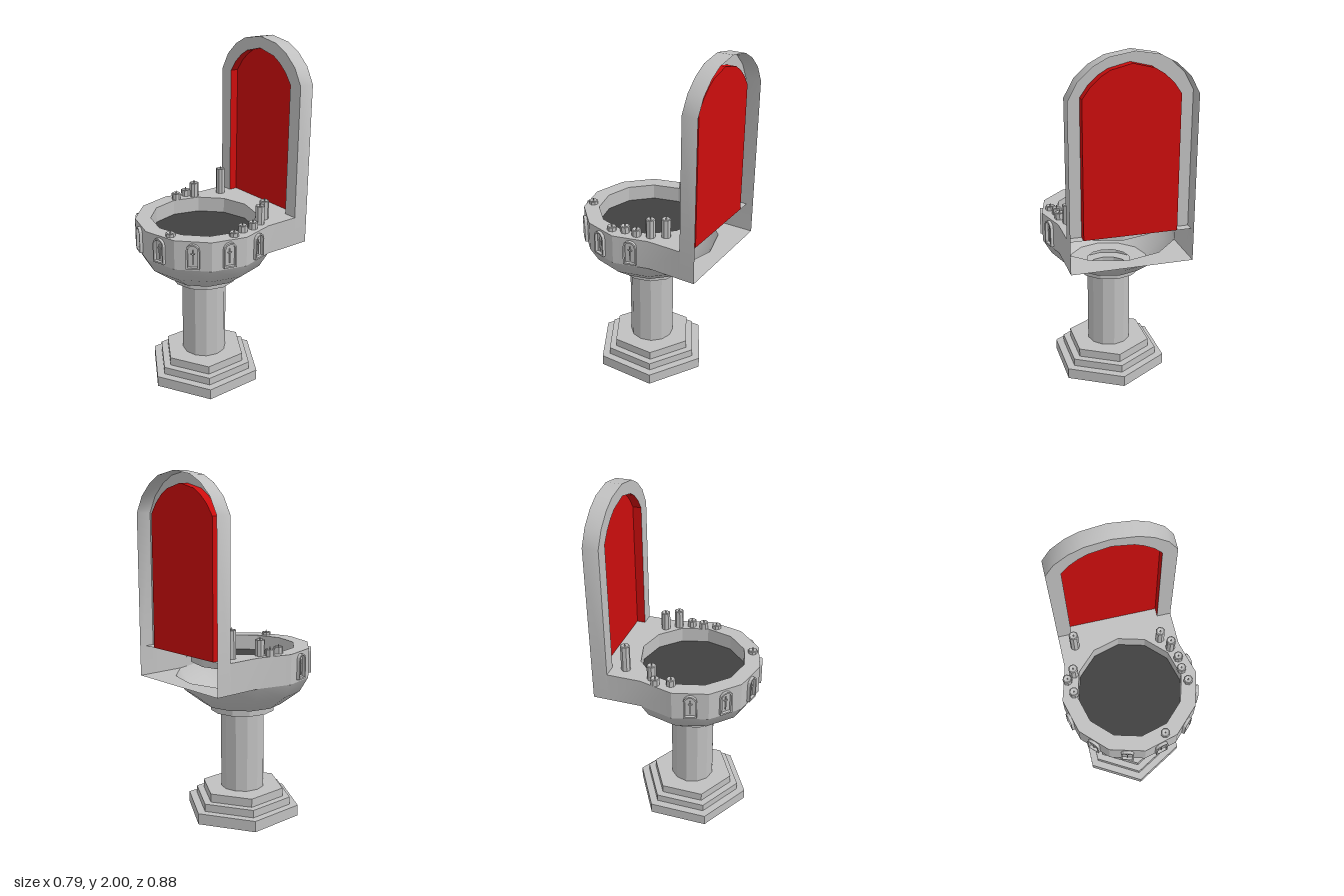
import * as THREE from 'three';
import { toCreasedNormals } from 'three/addons/utils/BufferGeometryUtils.js';

const stone = new THREE.MeshStandardMaterial({ color: 0xc0c0c0, side: THREE.DoubleSide });
stone.name = 'pale stone';
const red = new THREE.MeshStandardMaterial({ color: 0xcc0d0d, side: THREE.DoubleSide });
red.name = 'red panel';
const dark = new THREE.MeshStandardMaterial({ color: 0x404040, side: THREE.DoubleSide });
dark.name = 'dark water';

const BOWL_Z = 0.045, RIM_Y = 1.02, FLOOR_Y = 0.85;
const FRONT_Z = -0.35, PANEL_Z = -0.4, BACK_Z = -0.44;
const v2 = (x, y) => new THREE.Vector2(x, y);
const v3 = (x, y, z) => new THREE.Vector3(x, y, z);

function add(parent, name, geometry, material, crease = 0.5) {
  const mesh = new THREE.Mesh(toCreasedNormals(geometry, crease), material);
  mesh.name = name;
  parent.add(mesh);
  return mesh;
}

// Wall of quads between two matching rows of points
function ribbon(a, b) {
  const pos = [], index = [], n = a.length;
  for (const p of [...a, ...b]) pos.push(p.x, p.y, p.z);
  for (let i = 0; i < n - 1; i++) index.push(i, i + 1, n + i + 1, i, n + i + 1, n + i);
  const g = new THREE.BufferGeometry();
  g.setAttribute('position', new THREE.Float32BufferAttribute(pos, 3));
  g.setIndex(index);
  return g;
}

const lathe = (points, sides) =>
  new THREE.LatheGeometry(points.map(([r, y]) => v2(r, y)), sides).translate(0, 0, BOWL_Z);

// Corner of a twelve-sided ring around the bowl centre, as (x, z)
function corner(i, r) {
  const t = i * Math.PI / 6;
  return v2(r * Math.sin(t), BOWL_Z + r * Math.cos(t));
}
const corners = (from, to, r) =>
  Array.from({ length: to - from + 1 }, (_, i) => corner(from + i, r));

// Horizontal plate from (x, z) points
function plate(points, y, hole) {
  const flip = p => v2(p.x, -p.y);
  const shape = new THREE.Shape(points.map(flip));
  if (hole) shape.holes.push(new THREE.Path(hole.map(flip)));
  return new THREE.ShapeGeometry(shape).rotateX(-Math.PI / 2).translate(0, y, 0);
}

// Vertical wall from (x, z) points
const wall = (points, y0, y1) =>
  ribbon(points.map(p => v3(p.x, y0, p.y)), points.map(p => v3(p.x, y1, p.y)));

// Full arch outline, +x foot to -x foot, from its right half
function arch(half, bottom) {
  const right = [[half[0][0], bottom], ...half];
  const left = right.slice(0, -1).reverse().map(([x, y]) => [-x, y]);
  return [...right, ...left].map(([x, y]) => v2(x, y));
}

function addPedestal(group) {
  // Hollow six-sided steps
  add(group, 'steppedBase', lathe([
    [0.345, 0], [0.345, 0.065], [0.295, 0.065], [0.295, 0.11],
    [0.25, 0.11], [0.25, 0.16], [0.12, 0.16],
  ], 6), stone);
  add(group, 'column', lathe([[0.13, 0.16], [0.13, 0.635]], 12), stone);
  add(group, 'collar', lathe([[0.12, 0.635], [0.19, 0.635], [0.19, 0.68]], 12), stone);
}

function addBasin(group) {
  add(group, 'bowl', lathe([[0.13, 0.68], [0.235, 0.68], [0.345, 0.765], [0.394, FLOOR_Y]], 12), stone, 0.6);
  add(group, 'basinInnerWall', lathe([[0.305, 0.93], [0.305, RIM_Y]], 12), stone);
  add(group, 'water', new THREE.CircleGeometry(0.305, 12).rotateX(-Math.PI / 2)
    .translate(0, 0.93, BOWL_Z), dark);

  // Rim and the square shelf behind it, open at the back
  const front = corners(-4, 4, 0.394);
  add(group, 'rimTop', plate([v2(-0.341, PANEL_Z), ...front, v2(0.341, PANEL_Z)], RIM_Y,
    corners(0, 11, 0.305)), stone);
  add(group, 'rimWall', wall([v2(-0.341, FRONT_Z), ...front, v2(0.341, FRONT_Z)], FLOOR_Y, RIM_Y), stone);
  add(group, 'shelfUnderside', plate([...corners(4, 8, 0.394), v2(-0.341, BACK_Z), v2(0.341, BACK_Z)],
    FLOOR_Y), stone);
}

function addBackboard(group) {
  const outerHalf = [[0.341, 1.775], [0.29, 1.867], [0.215, 1.935], [0.135, 1.977], [0, 2]];
  const innerHalf = [[0.26, 1.77], [0.217, 1.83], [0.165, 1.877], [0.115, 1.907], [0, 1.935]];
  const inner = arch(innerHalf, RIM_Y);
  const face = new THREE.Shape([...arch(outerHalf, RIM_Y), ...inner.slice().reverse()]);
  const sweep = (pts, z0, z1) => ribbon(pts.map(p => v3(p.x, p.y, z0)), pts.map(p => v3(p.x, p.y, z1)));

  add(group, 'archFace', new THREE.ShapeGeometry(face).translate(0, 0, FRONT_Z), stone);
  add(group, 'archOuterWall', sweep(arch(outerHalf, FLOOR_Y), BACK_Z, FRONT_Z), stone, 0.65);
  add(group, 'panelEdge', sweep(inner, PANEL_Z, FRONT_Z), red);
  add(group, 'panel', new THREE.ShapeGeometry(new THREE.Shape(inner)).translate(0, 0, PANEL_Z), red);
}

// Small arched niche with a raised border and a slim cross inside
function addNiche(group, degrees) {
  const niche = new THREE.Group();
  niche.name = 'archedNiche';
  const outline = (w, bottom, spring) => arch([
    [w, spring], [w * 0.87, spring + w * 0.5], [w * 0.5, spring + w * 0.87], [0, spring + w],
  ], bottom);
  const border = new THREE.Shape(outline(0.037, 0.864, 0.972));
  border.holes.push(new THREE.Path(outline(0.028, 0.873, 0.972)));
  add(niche, 'nicheBorder', new THREE.ExtrudeGeometry(border, { depth: 0.018, bevelEnabled: false }), stone);
  add(niche, 'crossUpright', new THREE.BoxGeometry(0.005, 0.085, 0.008).translate(0, 0.93, 0.004), stone);
  add(niche, 'crossArm', new THREE.BoxGeometry(0.024, 0.005, 0.008).translate(0, 0.95, 0.004), stone);
  const t = THREE.MathUtils.degToRad(degrees), r = 0.38;
  niche.position.set(r * Math.sin(t), 0, BOWL_Z + r * Math.cos(t));
  niche.rotation.y = t;
  group.add(niche);
}

function addCandle(group, [x, z, top]) {
  const candle = new THREE.Group();
  candle.name = 'candle';
  const h = top - RIM_Y;
  const profile = [[0.027, 0], [0.027, h - 0.003], [0.022, h], [0, h - 0.008]].map(([r, y]) => v2(r, y));
  add(candle, 'wax', new THREE.LatheGeometry(profile, 8), stone);
  add(candle, 'wick', new THREE.CylinderGeometry(0.002, 0.004, 0.02, 5).translate(0, h + 0.002, 0), stone);
  candle.position.set(x, RIM_Y, z);
  candle.rotation.y = x * 7;
  group.add(candle);
}

export function createModel() {
  const model = new THREE.Group();
  model.name = 'pedestalBasin';
  addPedestal(model);
  addBasin(model);
  addBackboard(model);
  for (const degrees of [-75, -45, -15, 15, 45, 75, 105]) addNiche(model, degrees);

  // Candles: x, z, top height
  [
    [-0.255, -0.27, 1.178], [-0.297, -0.1, 1.11], [-0.341, -0.066, 1.06], [-0.32, 0.018, 1.06],
    [0.24, -0.205, 1.13], [0.286, -0.135, 1.13], [0.315, -0.061, 1.06], [0.315, 0.013, 1.06],
    [0.336, 0.088, 1.045], [0.132, 0.365, 1.04],
  ].forEach(c => addCandle(model, c));
  return model;
}
